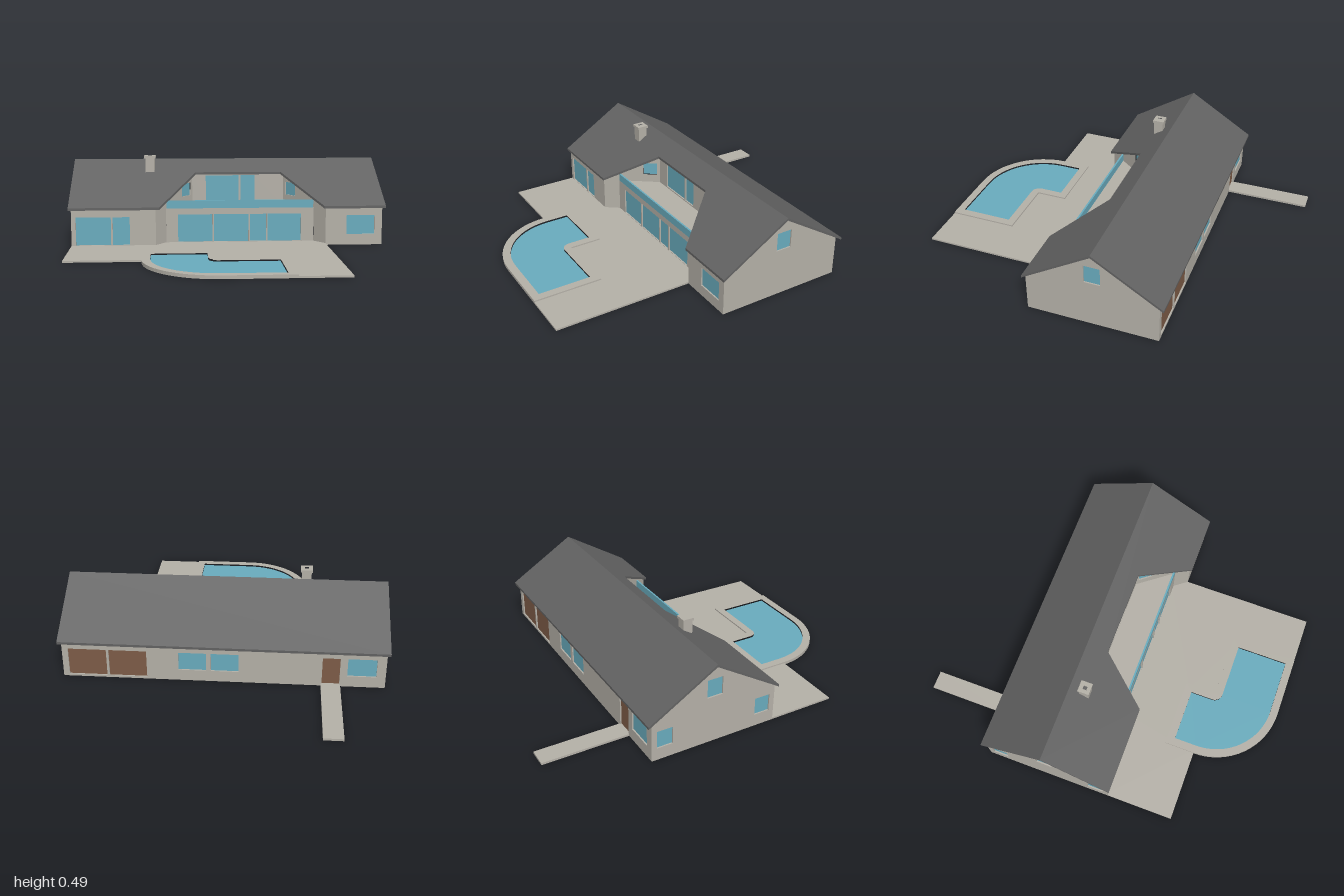
import * as THREE from 'three';

const material = (name, color, side = THREE.FrontSide) => {
  const m = new THREE.MeshStandardMaterial({ color, side });
  m.name = name;
  return m;
};

export function createModel() {
  const house = new THREE.Group();
  house.name = 'house';
  const stone = material('warm grey plaster', 0xb4b0a7);
  const slate = material('dark slate', 0x626262);
  const glass = material('blue glass', 0x69abbd, THREE.DoubleSide);
  const wood = material('brown wood', 0x7d5c47);

  const add = (name, geometry, mat, parent = house) => {
    const mesh = new THREE.Mesh(geometry, mat);
    mesh.name = name;
    parent.add(mesh);
    return mesh;
  };
  const box = (name, x0, x1, y0, y1, z0, z1, mat, parent) =>
    add(name, new THREE.BoxGeometry(x1 - x0, y1 - y0, z1 - z0), mat, parent)
      .position.set((x0 + x1) / 2, (y0 + y1) / 2, (z0 + z1) / 2);

  // Horizontal slab from a plan outline of [x, z] points
  const plan = (pts) => pts.map(([x, z]) => new THREE.Vector2(x, -z));
  const slabGeometry = (pts, y0, y1, hole) => {
    const shape = new THREE.Shape(plan(pts));
    if (hole) shape.holes.push(new THREE.Path(plan(hole)));
    return new THREE.ExtrudeGeometry(shape, { depth: y1 - y0, bevelEnabled: false })
      .rotateX(-Math.PI / 2).translate(0, y0, 0);
  };

  // Roof pitch: height of the underside at depth z
  const ridgeZ = -0.155, pitch = 0.6156;
  const under = (z) => 0.448 - pitch * Math.abs(z - ridgeZ);

  // Upright wall between two plan points, with openings [s0, s1, y0, y1, material]
  const thick = 0.018;
  const wall = (name, [x0, z0], [x1, z1], outline, openings = []) => {
    const group = new THREE.Group();
    group.name = name;
    group.position.set(x0, 0, z0);
    group.rotation.y = Math.atan2(z0 - z1, x1 - x0);
    const shape = new THREE.Shape(outline.map(([s, y]) => new THREE.Vector2(s, y)));
    for (const [a, b, c, d, mat = glass] of openings) {
      shape.holes.push(new THREE.Path([[a, c], [a, d], [b, d], [b, c]].map((p) => new THREE.Vector2(...p))));
      box(mat === wood ? 'door' : 'window', a, b, c, d, -0.013, -0.008, mat, group);
    }
    const geometry = new THREE.ExtrudeGeometry(shape, { depth: thick, bevelEnabled: false });
    add(name + ' panel', geometry.translate(0, 0, -thick), stone, group);
    house.add(group);
  };
  const rect = (w, h) => [[0, 0], [w, 0], [w, h], [0, h]];

  const L = -0.88, R = 0.873, F = 0.215, B = -0.515;
  const eave = under(F);

  // Front walls either side of the recess
  wall('left front wall', [L, F], [-0.41, F], rect(-0.41 - L, eave),
    [[0.025, 0.22, 0.012, 0.17], [0.23, 0.325, 0.012, 0.17]]);
  wall('right front wall', [0.55, F], [R, F], rect(R - 0.55, eave), [[0.12, 0.28, 0.06, 0.17]]);

  // Back wall with garage doors, entrance and windows
  const back = [[0.84, 0.63, 0.012, 0.172, wood], [0.617, 0.41, 0.012, 0.172, wood],
    [0.236, 0.085, 0.065, 0.172], [0.06, -0.09, 0.065, 0.172],
    [-0.54, -0.635, 0.012, 0.172, wood], [-0.675, -0.83, 0.065, 0.172]];
  wall('back wall', [R, B], [L, B], rect(R - L, under(B)),
    back.map(([a, b, ...rest]) => [R - a, R - b, ...rest]));

  // Gable ends
  const depth = F - B;
  const gable = (peak) => [[0, 0], [depth, 0], [depth, eave], [peak, 0.448], [0, eave]];
  wall('right gable wall', [R, F], [R, B], gable(F - ridgeZ), [[0.325, 0.415, 0.27, 0.375]]);
  wall('left gable wall', [L, B], [L, F], gable(ridgeZ - B),
    [[0.315, 0.405, 0.27, 0.375], [0.03, 0.12, 0.07, 0.17], [0.61, 0.7, 0.07, 0.17]]);

  // Recessed ground floor front and upper terrace wall
  wall('recessed front wall', [-0.352, 0.14], [0.492, 0.14], rect(0.844, 0.205),
    [[-0.285, -0.09], [-0.08, 0.117], [0.127, 0.22], [0.228, 0.42]]
      .map(([a, b]) => [a + 0.352, b + 0.352, 0.012, 0.17]));
  wall('terrace wall', [-0.2, -0.06], [0.34, -0.06], [[0, 0.195], [0.54, 0.195], [0.54, 0.39], [0, 0.39]],
    [[0.08, 0.275, 0.212, 0.37], [0.285, 0.37, 0.212, 0.37]]);

  // Slanted side walls of the recess, measured from their back end
  const len = Math.hypot(0.21, 0.275), turn = len * 0.2 / 0.275;
  const side = [[0, 0.195], [turn, 0.195], [turn, 0], [len, 0], [len, eave], [0, under(-0.06)]];
  const flip = side.map(([s, y]) => [len - s, y]);
  wall('left recess wall', [-0.41, F], [-0.2, -0.06], flip, [[len - 0.1, len - 0.018, 0.255, 0.33]]);
  wall('right recess wall', [0.34, -0.06], [0.55, F], side, [[0.018, 0.1, 0.255, 0.33]]);

  // Terrace floor and glass balustrade
  add('terrace floor', slabGeometry([[-0.2, -0.06], [0.34, -0.06], [0.487, 0.132], [-0.347, 0.132]], 0.193, 0.205), stone);
  box('balustrade', -0.35, 0.49, 0.205, 0.25, 0.13, 0.14, glass);

  // Roof slopes: flat plans sheared down to the pitch
  const roof = (name, pts) => {
    const geometry = slabGeometry(pts, 0, 0.014);
    const p = geometry.attributes.position;
    for (let i = 0; i < p.count; i++) p.setY(i, p.getY(i) + under(p.getZ(i)));
    geometry.computeVertexNormals();
    add(name, geometry, slate);
  };
  const rl = -0.895, rr = 0.89;
  roof('front roof', [[rl, ridgeZ], [rr, ridgeZ], [rr, 0.23], [0.54, 0.23], [0.32, -0.04],
    [-0.18, -0.04], [-0.39, 0.23], [rl, 0.23]]);
  roof('back roof', [[rl, ridgeZ], [rl, -0.54], [rr, -0.54], [rr, ridgeZ]]);

  // Chimney with a flared hollow cap
  const square = (h) => [[-0.447 - h, -0.07 - h], [-0.447 + h, -0.07 - h], [-0.447 + h, -0.07 + h], [-0.447 - h, -0.07 + h]];
  add('chimney', slabGeometry(square(0.027), 0.36, 0.475, square(0.012)), stone);
  add('chimney cap', slabGeometry(square(0.033), 0.475, 0.49, square(0.012)), stone);

  // Curved pool outline, grown outwards by d
  const arc = (r, from, to) => Array.from({ length: 17 }, (_, i) => {
    const a = from + (to - from) * i / 16;
    return [-0.08 + r * Math.cos(a), 0.6 + r * Math.sin(a)];
  });
  const pool = (d) => [[-0.43 - d, 0.47 - d], [-0.13 + d, 0.47 - d], ...arc(0.05 - d, Math.PI, Math.PI / 2),
    [0.24 + d, 0.65 - d], [0.24 + d, 0.95 + d], ...arc(0.35 + d, Math.PI / 2, Math.PI)];
  add('pool edge', slabGeometry(pool(0.045), 0, 0.018, pool(0)), stone);
  add('pool water', slabGeometry(pool(0), 0.002, 0.008), glass);

  // Patio around the pool, and the path to the entrance
  add('patio', slabGeometry([[L, 0.2], [-0.4, 0.2], [-0.35, 0.13], [0.49, 0.13], [0.55, 0.2], [0.55, 0.995],
    ...arc(0.395, Math.PI / 2, Math.PI), [L, 0.6]], 0, 0.01, pool(0.02)), stone);
  box('entrance path', -0.64, -0.535, 0, 0.012, -1, B, stone);

  return house;
}
